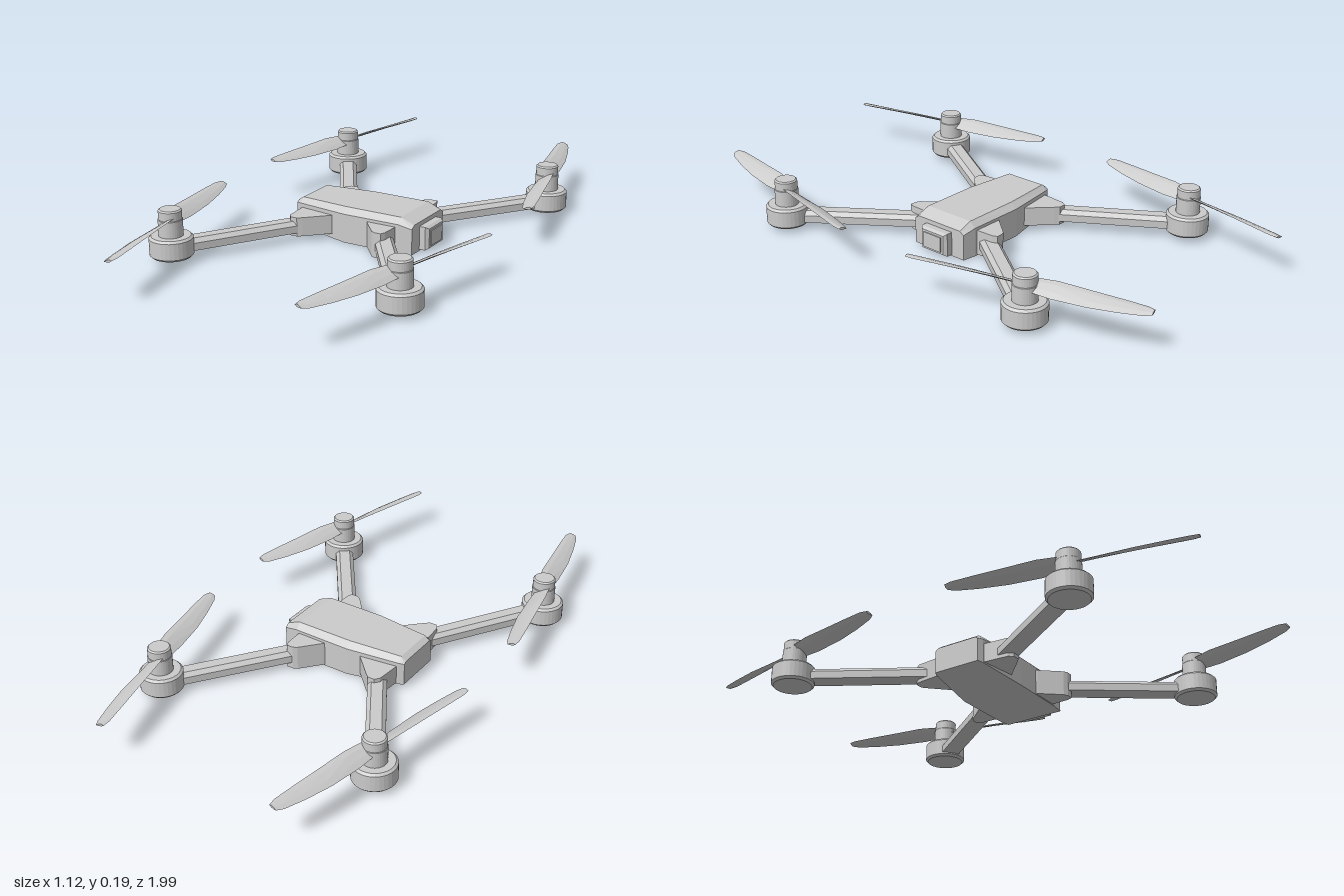
import * as THREE from 'three';

const grey = new THREE.MeshStandardMaterial({ color: 0xcccccc, flatShading: true });
const smooth = new THREE.MeshStandardMaterial({ color: 0xcccccc });

function part(name, geometry, parent, material = grey) {
  const mesh = new THREE.Mesh(geometry, material);
  mesh.name = name;
  parent.add(mesh);
  return mesh;
}

// Closed skin over a row of equal-length rings of [x, y, z] corners
function loft(rings) {
  const n = rings[0].length, last = (rings.length - 1) * n, index = [];
  for (let i = 0; i < rings.length - 1; i++) {
    for (let j = 0; j < n; j++) {
      const a = i * n + j, b = i * n + (j + 1) % n;
      index.push(a, b, b + n, a, b + n, a + n);
    }
  }
  for (let j = 1; j < n - 1; j++) {
    index.push(0, j + 1, j, last, last + j, last + j + 1);
  }
  const g = new THREE.BufferGeometry();
  g.setAttribute('position', new THREE.Float32BufferAttribute(rings.flat(2), 3));
  g.setIndex(index);
  const flat = g.toNonIndexed();
  flat.computeVertexNormals();
  return flat;
}

// Cylinder-like solid with small bevels at both rims
function drum(radius, y0, y1, bevel) {
  const p = [[0, y0], [radius - bevel, y0], [radius, y0 + bevel],
    [radius, y1 - bevel], [radius - bevel, y1], [0, y1]];
  // Doubled corners keep the rims sharp
  const pts = p.flatMap(([x, y], i) => i > 0 && i < 5
    ? [new THREE.Vector2(x, y), new THREE.Vector2(x, y)] : [new THREE.Vector2(x, y)]);
  const g = new THREE.LatheGeometry(pts.filter((v, i) => i === 0 || !v.equals(pts[i - 1])), 32).toNonIndexed();
  g.computeVertexNormals();
  return g;
}

// Body: chamfered top, rising tail, sloping brow
function bodyGeometry() {
  // x, bottom, shoulder, top, shoulder half width, top half width
  return loft([
    [-0.27, 0.02, 0.105, 0.112, 0.09, 0.078],
    [-0.25, 0.018, 0.107, 0.126, 0.098, 0.08],
    [-0.05, 0, 0.107, 0.128, 0.124, 0.1],
    [0.17, 0, 0.107, 0.128, 0.122, 0.1],
    [0.222, 0, 0.095, 0.107, 0.115, 0.098],
  ].map(([x, b, s, t, w, v]) => [
    [x, t, -v], [x, t, v], [x, s, w], [x, b, w], [x, b, -w], [x, s, -w],
  ]));
}

// Front camera housing with a bevelled face and a raised window
function cameraUnit(parent) {
  const block = (name, steps) => part(name, loft(steps.map(([x, h, w]) => [
    [x, 0.048 + h, -w], [x, 0.048 + h, w], [x, 0.048 - h, w], [x, 0.048 - h, -w],
  ])), parent);
  block('cameraHousing', [[0.18, 0.043, 0.06], [0.245, 0.043, 0.06], [0.256, 0.036, 0.05]]);
  block('cameraWindow', [[0.25, 0.028, 0.04], [0.26, 0.028, 0.04]]);
}

// Hinge block joining an arm to the body
function knuckle(outline, y0, y1, parent) {
  const shape = new THREE.Shape(outline.map(([x, z]) => new THREE.Vector2(x, -z)));
  const g = new THREE.ExtrudeGeometry(shape, { depth: y1 - y0, bevelEnabled: false });
  g.rotateX(-Math.PI / 2).translate(0, y0, 0);
  part('armHinge', g, parent);
}

// Straight arm with a chamfered top
function arm(from, to, y0, y1, parent) {
  const dx = to[0] - from[0], dz = to[1] - from[1];
  const h = y1 - y0;
  const ring = (z) => [
    [0.02, h, z], [-0.02, h, z], [-0.034, h * 0.65, z],
    [-0.034, 0, z], [0.034, 0, z], [0.034, h * 0.65, z],
  ];
  const mesh = part('arm', loft([ring(0), ring(Math.hypot(dx, dz))]), parent);
  mesh.position.set(from[0], y0, from[1]);
  mesh.rotation.y = Math.atan2(dx, dz);
}

// Twisted blade along +z, raised leading edge on +x
function bladeGeometry() {
  // radius, leading x, trailing x, leading y, trailing y
  return loft([
    [0.015, 0.028, -0.024, 0.013, -0.013],
    [0.1, 0.033, -0.031, 0.017, -0.016],
    [0.22, 0.031, -0.034, 0.013, -0.013],
    [0.32, 0.03, -0.027, 0.01, -0.009],
    [0.4, 0.028, -0.017, 0.007, -0.004],
    [0.425, 0.021, -0.008, 0.005, 0],
  ].map(([r, a, b, ya, yb]) => {
    const at = (t, lift) => [a + (b - a) * t, ya + (yb - ya) * t + lift, r];
    return [at(0, 0), at(0.3, 0.005), at(0.7, 0.004), at(1, 0), at(0.65, -0.003), at(0.3, -0.004)];
  }));
}

// Motor pod, shaft, two blades and cap
function rotor(x, z, lift, angle, spin, parent) {
  const group = new THREE.Group();
  group.name = 'rotor';
  group.position.set(x, lift, z);
  parent.add(group);
  part('motorPod', drum(0.077, 0.015, 0.09, 0.008), group, smooth);
  part('rotorShaft', drum(0.043, 0.085, 0.15, 0.002), group, smooth);
  part('rotorCap', drum(0.041, 0.14, 0.185, 0.005), group, smooth);
  const propeller = new THREE.Group();
  propeller.name = 'propeller';
  propeller.position.y = 0.146;
  propeller.rotation.y = angle;
  propeller.scale.x = spin;
  group.add(propeller);
  for (const turn of [0, Math.PI]) {
    part('blade', bladeGeometry(), propeller).rotation.y = turn;
  }
}

export function createModel() {
  const model = new THREE.Group();
  model.name = 'quadcopter';
  part('body', bodyGeometry(), model);
  cameraUnit(model);

  // One side at +z, the other mirrored
  for (const side of [1, -1]) {
    const half = new THREE.Group();
    half.name = side > 0 ? 'frontSide' : 'backSide';
    half.scale.z = side;
    model.add(half);

    knuckle([[0.02, 0.09], [0.05, 0.13], [0.11, 0.2], [0.125, 0.208], [0.15, 0.208], [0.157, 0.19], [0.16, 0.09]],
      0.004, 0.096, half);
    arm([0.115, 0.13], [0.43, 0.565], 0.028, 0.07, half);
    rotor(0.43, 0.565, 0, -0.235, -1, half);

    knuckle([[-0.245, 0.08], [-0.235, 0.19], [-0.222, 0.208], [-0.195, 0.208], [-0.18, 0.195], [-0.105, 0.12], [-0.09, 0.09]],
      0.022, 0.092, half);
    arm([-0.185, 0.13], [-0.465, 0.578], 0.035, 0.077, half);
    rotor(-0.465, 0.578, 0.005, 0.19, 1, half);
  }
  return model;
}
